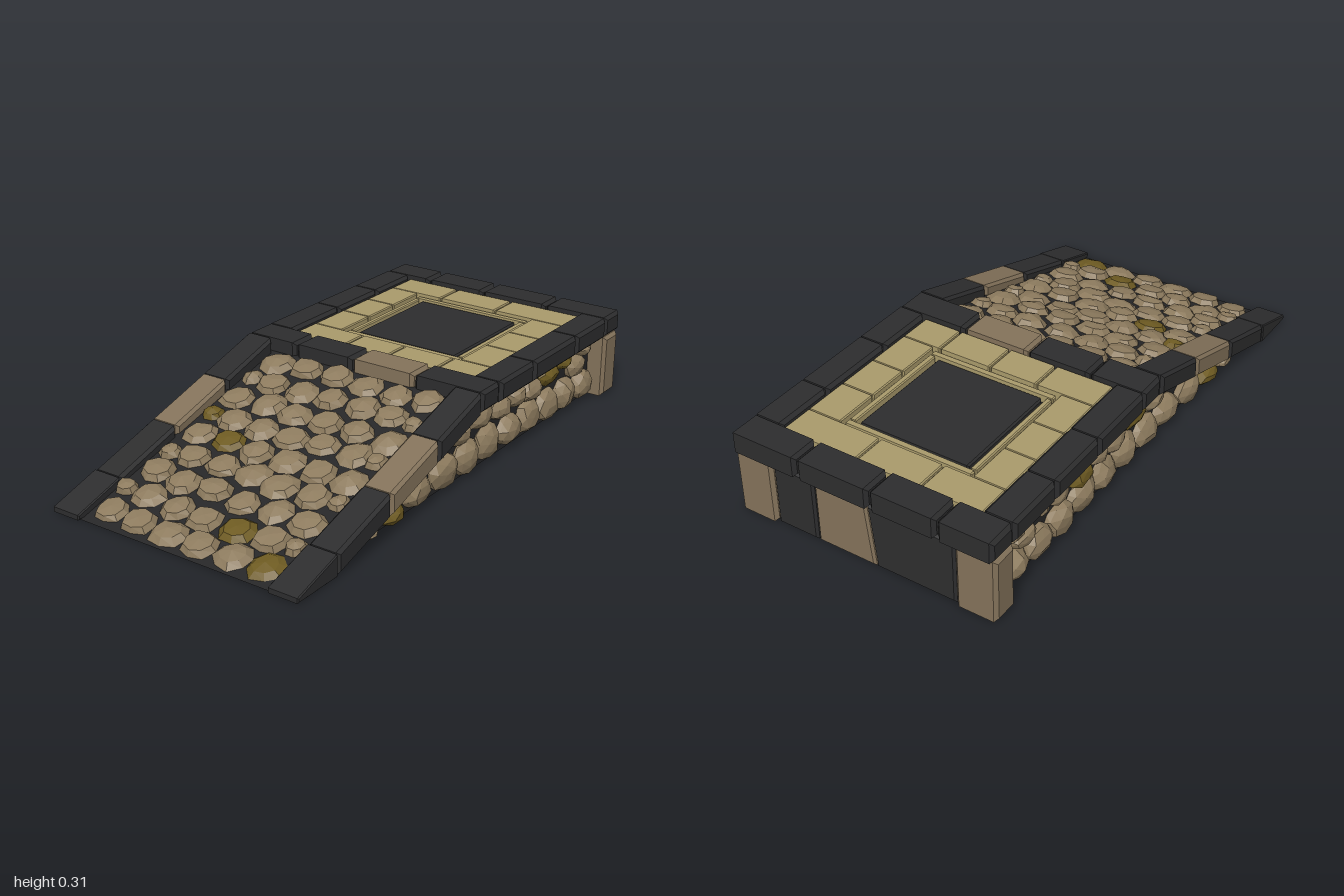
import * as THREE from 'three';

const mat = (name, color) => {
  const m = new THREE.MeshStandardMaterial({ color });
  m.name = name;
  return m;
};

export function createModel() {
  const root = new THREE.Group();
  root.name = 'stoneRampPlatform';
  const dark = mat('charcoal stone', 0x2d2d2e);
  const core = mat('dark mortar', 0x262627);
  const tan = mat('tan block', 0x83725a);
  const rock = mat('rubble stone', 0x8d7b5e);
  const ochre = mat('ochre stone', 0x6e5b22);
  const paver = mat('sand paving', 0xa99a6b);

  let seed = 7;
  const rand = () => (seed = (seed * 16807) % 2147483647) / 2147483647;
  const vary = (v, amount) => v * (1 + (rand() - 0.5) * amount);

  const group = (name) => {
    const g = new THREE.Group();
    g.name = name;
    root.add(g);
    return g;
  };
  const add = (parent, name, geo, material) => {
    const m = new THREE.Mesh(geo, material);
    m.name = name;
    parent.add(m);
    return m;
  };

  // Chamfered prism from an outline, spanning 0..-depth behind its front face
  const prism = (points, depth, b) => {
    const shape = new THREE.Shape(points.map(([x, y]) => new THREE.Vector2(x, y)));
    const geo = new THREE.ExtrudeGeometry(shape, {
      depth: depth - 2 * b, bevelEnabled: b > 0, bevelThickness: b,
      bevelSize: b, bevelOffset: -b, bevelSegments: 1, steps: 1,
    });
    return geo.translate(0, 0, b - depth);
  };
  // Prism with a (z, y) side profile running from x0 to x1
  const bar = (parent, name, material, profile, x0, x1, b = 0.012) =>
    add(parent, name, prism(profile, x1 - x0, b).rotateY(-Math.PI / 2).translate(x0, 0, 0), material);
  const block = (parent, name, material, x0, x1, y0, y1, z0, z1, b) =>
    bar(parent, name, material, [[z0, y0], [z1, y0], [z1, y1], [z0, y1]], x0, x1, b);

  // Core body under the stones
  bar(root, 'core', core, [[0.99, 0], [0, 0.265], [-0.97, 0.265], [-0.97, 0]], -0.43, 0.43, 0);

  // Rim slabs around the platform
  const rim = group('platformRim');
  const rimY = [0.238, 0.315];
  const backX = [-0.5, -0.295, -0.045, 0.235, 0.5];
  const frontX = [-0.5, -0.285, -0.04, 0.22, 0.5];
  for (let i = 0; i < 4; i++) {
    block(rim, 'backRimSlab', dark, backX[i] + 0.003, backX[i + 1] - 0.003, ...rimY, -1, -0.89);
    block(rim, 'frontRimSlab', i === 2 ? tan : dark, frontX[i] + 0.003, frontX[i + 1] - 0.003, ...rimY, -0.117, -0.005);
  }
  for (const [x0, zs] of [[-0.5, [-0.887, -0.657, -0.405, -0.12]], [0.385, [-0.887, -0.657, -0.35, -0.12]]])
    for (let i = 0; i < 3; i++)
      block(rim, 'sideRimSlab', dark, x0, x0 + 0.115, ...rimY, zs[i] + 0.003, zs[i + 1] - 0.003);

  // Sloping kerb slabs along the ramp
  const kerb = group('rampKerb');
  const top = (z) => 0.018 + 0.297 * (1 - z);
  const kerbZ = [0, 0.258, 0.525, 0.805, 1];
  for (const x0 of [-0.5, 0.385])
    for (let i = 0; i < 4; i++) {
      const a = kerbZ[i] + 0.002, c = kerbZ[i + 1] - (i < 3 ? 0.002 : 0);
      const low = (z) => Math.max(0, top(z) - 0.08);
      const profile = [[a, low(a)], [c, low(c)], [c, top(c)], [a, top(a)]];
      bar(kerb, 'kerbSlab', i === 1 ? tan : dark, profile, x0, x0 + 0.115, i === 3 ? 0.004 : 0.011);
    }

  // Paving tiles on the platform
  const paving = group('paving');
  const tile = (x0, x1, z0, z1, y = 0.3) =>
    block(paving, 'pavingTile', paver, x0 + 0.003, x1 - 0.003, 0.25, y, z0 + 0.003, z1 - 0.003, 0.004);
  const rowTiles = (xs, z0, z1) => xs.slice(1).forEach((x, i) => tile(xs[i], x, z0, z1));
  rowTiles([-0.385, -0.155, 0.09, 0.385], -0.887, -0.757);
  rowTiles([-0.385, -0.16, 0.025, 0.23, 0.385], -0.25, -0.12);
  const columnZ = [-0.757, -0.587, -0.425, -0.25];
  for (let i = 0; i < 3; i++) {
    tile(-0.385, -0.257, columnZ[i], columnZ[i + 1]);
    tile(0.25, 0.385, columnZ[i], columnZ[i + 1]);
  }
  // Narrow frame and the dark panel it holds
  tile(-0.25, 0.247, -0.748, -0.722, 0.293);
  tile(-0.25, 0.247, -0.283, -0.257, 0.293);
  tile(-0.25, -0.222, -0.722, -0.283, 0.293);
  tile(0.217, 0.247, -0.722, -0.283, 0.293);
  block(root, 'centrePanel', dark, -0.213, 0.208, 0.25, 0.289, -0.713, -0.292, 0.006);

  // Back wall: corner pillars and tapered blocks
  const back = group('backWall');
  for (const x0 of [-0.5, 0.35])
    block(back, 'cornerPillar', tan, x0, x0 + 0.15, 0, 0.237, -0.988, -0.888);
  const wall = [[-0.35, -0.35, dark], [-0.045, -0.02, tan], [0.185, 0.185, dark], [0.35, 0.35]];
  for (let i = 0; i < 3; i++) {
    const [a, b, m] = wall[i], [c, d] = wall[i + 1];
    const outline = [[a + 0.002, 0], [c - 0.002, 0], [d - 0.002, 0.237], [b + 0.002, 0.237]];
    add(back, 'backBlock', prism(outline, 0.06, 0.008).translate(0, 0, -0.922), m);
  }

  // Faceted stone with an irregular outline
  const stone = (base, amount) => {
    const geo = base.index ? base.toNonIndexed() : base;
    const p = geo.attributes.position;
    const [a, b, c] = [rand() * 6, rand() * 6, rand() * 6];
    for (let i = 0; i < p.count; i++) {
      const [x, y, z] = [p.getX(i), p.getY(i), p.getZ(i)];
      const k = 1 + amount * (Math.sin(5 * x + a) + Math.sin(6 * z + b) + Math.sin(4 * y + c)) / 2;
      p.setXYZ(i, x * k, y * k, z * k);
    }
    geo.computeVertexNormals();
    return geo;
  };

  // Cobbles bedded in the ramp
  const cobbles = group('rampCobbles');
  const evenX = [-0.315, -0.19, -0.063, 0.063, 0.19, 0.315];
  const oddX = [-0.345, -0.25, -0.125, 0, 0.125, 0.25, 0.345];
  const ochreCobbles = ['3:0', '4:1', '7:4', '8:5'];
  for (let row = 0; row < 9; row++) {
    const z = 0.055 + row * 0.1085;
    (row % 2 ? oddX : evenX).forEach((x, i) => {
      const r = Math.abs(x) > 0.33 ? 0.042 : 0.067;
      const dome = new THREE.SphereGeometry(1, 8, 2, rand() * 6, Math.PI * 2, 0, Math.PI / 2);
      const m = add(cobbles, 'cobble', stone(dome, 0.1), ochreCobbles.includes(row + ':' + i) ? ochre : rock);
      const zz = Math.min(z + (rand() - 0.5) * 0.02, 0.922);
      m.position.set(x + (rand() - 0.5) * 0.012, 0.2677 * (0.99 - zz) - 0.001, zz);
      m.rotation.x = 0.262;
      m.scale.set(vary(r, 0.12), vary(0.028, 0.3), vary(r * 0.93, 0.12));
    });
  }

  // Rubble bulging from both side walls: [z, y, radius along z, radius along y]
  const rubble = [
    [0.58, 0.03, 0.045, 0.022], [0.45, 0.045, 0.07, 0.038], [0.3, 0.066, 0.076, 0.055],
    [0.14, 0.07, 0.08, 0.062], [0, 0.07, 0.075, 0.062], [-0.14, 0.074, 0.075, 0.064],
    [-0.28, 0.07, 0.075, 0.062], [-0.415, 0.074, 0.075, 0.064], [-0.55, 0.07, 0.075, 0.062],
    [-0.68, 0.07, 0.072, 0.062], [-0.81, 0.068, 0.07, 0.058],
    [0.05, 0.172, 0.06, 0.046], [-0.09, 0.19, 0.075, 0.046], [-0.22, 0.175, 0.062, 0.046],
    [-0.32, 0.185, 0.05, 0.045], [-0.43, 0.17, 0.068, 0.045], [-0.56, 0.185, 0.06, 0.042],
    [-0.67, 0.205, 0.05, 0.032], [-0.76, 0.155, 0.065, 0.04], [-0.82, 0.205, 0.05, 0.028],
  ];
  for (const side of [1, -1]) {
    const g = group(side > 0 ? 'leftRubble' : 'rightRubble');
    rubble.forEach(([z, y, rz, ry], i) => {
      const turned = new THREE.IcosahedronGeometry(1, 1).rotateX(rand() * 6).rotateY(rand() * 6);
      const isOchre = (side > 0 ? [1, 16, 17] : [1, 12, 15]).includes(i);
      const m = add(g, 'rubbleStone', stone(turned, 0.1), isOchre ? ochre : rock);
      m.position.set(side * 0.428, y, z);
      m.scale.set(vary(y < 0.1 ? 0.052 : 0.047, 0.2), ry, rz);
    });
  }
  return root;
}
